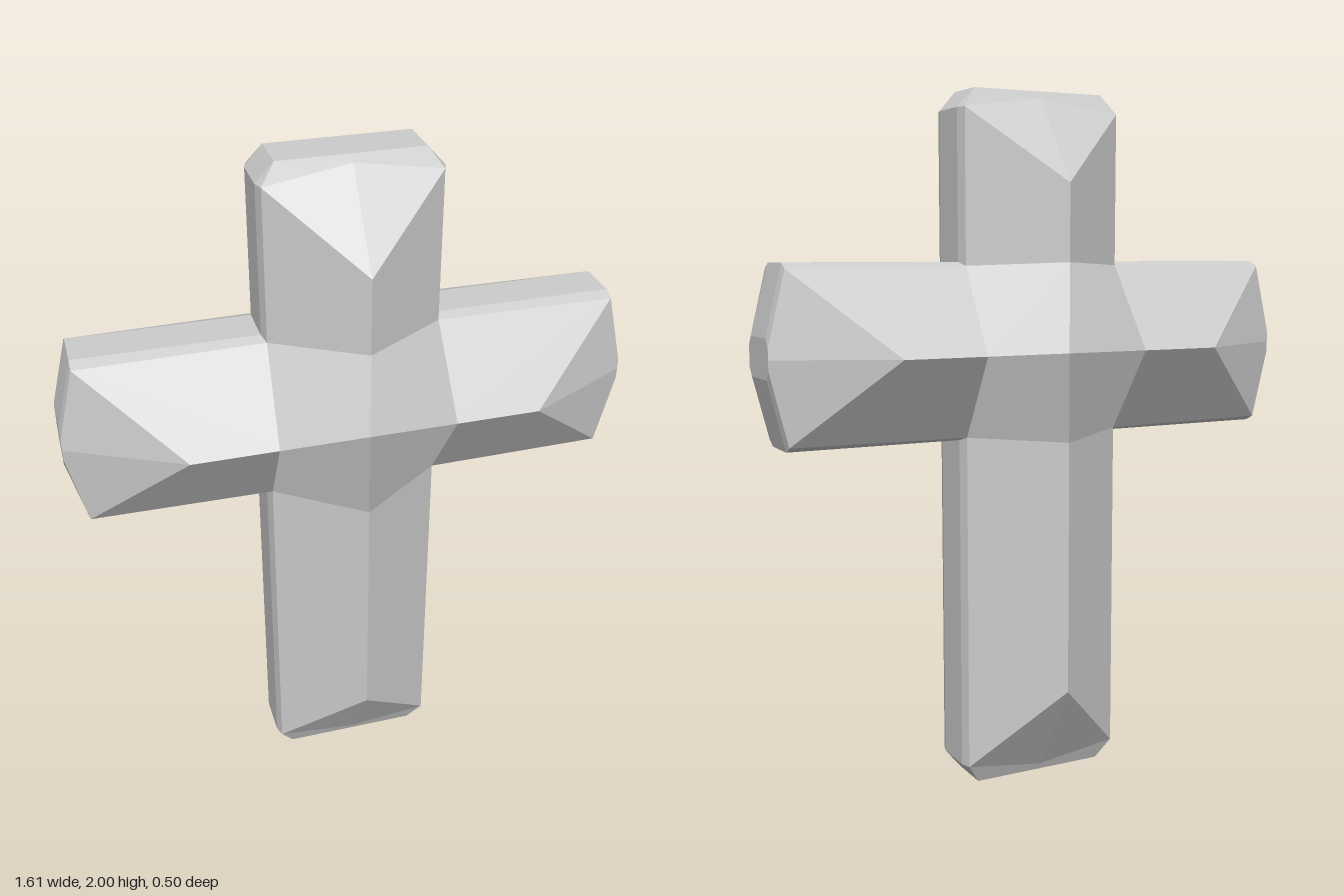
import * as THREE from 'three';

const MID_Y = 1.275; // height of the arm ridge

// Faces of one octant of the cross (x, y, z all positive, y measured from the arm ridge).
// top: end of the post, shoulder: start of its end chamfer, apex: end of its ridge.
function octantFaces(top, shoulder, apex) {
  // crossing
  const centre = [0, 0, 0.25], ridgeX = [0.25, 0, 0.25], ridgeY = [0, 0.25, 0.25];
  const k = [0.24, 0.24, 0.09], k2 = [0.25, 0.25, 0.06], k0 = [0.25, 0.25, 0];
  // post end
  const a = [0, apex, 0.25];
  const p = [0.24, shoulder, 0.09], p2 = [0.25, shoulder, 0.06], p0 = [0.25, shoulder, 0];
  const fold = [0, top - 0.02, 0.075];
  const t = [0.2, top, 0.065], t0 = [0.2, top, 0], tm = [0, top, 0.065], tc = [0, top, 0];
  // arm end
  const b = [0.49, 0, 0.25];
  const q = [0.755, 0.235, 0.09], q2 = [0.755, 0.25, 0.06], q0 = [0.755, 0.25, 0];
  const e1 = [0.805, 0, 0.09], e2 = [0.805, 0.03, 0.09], e3 = [0.805, 0.055, 0.07];
  const e4 = [0.805, 0.055, 0], ec = [0.805, 0, 0];
  return {
    crossing: [[ridgeX, k, ridgeY, centre]],
    post: [
      [ridgeY, k, p, a],           // sloped face
      [k, k2, p2, p],              // edge bevel
      [k2, k0, p0, p2],            // flat side
      [a, p, fold],                // end slope
      [fold, p, t, tm],
      [p, p2, t], [p2, p0, t0, t], // end chamfers
      [t, t0, tc, tm],             // end face
    ],
    arm: [
      [ridgeX, b, q, k],
      [k, q, q2, k2],
      [k2, q2, q0, k0],
      [b, e1, e2, q],
      [q, e2, e3, q2], [q2, e3, e4, q0],
      [e1, ec, e4, e3, e2],
    ],
  };
}

// Area normal of a polygon that may be slightly bent
function polygonNormal(points) {
  const n = new THREE.Vector3();
  points.forEach((v, i) => n.add(v.clone().cross(points[(i + 1) % points.length])));
  return n.normalize();
}

// Mirrors the faces into one octant, keeping them turned outward, one normal per face
function addFaces(target, faces, sx, sy, sz) {
  for (const face of faces) {
    const points = face.map(([x, y, z]) => new THREE.Vector3(x * sx, y * sy, z * sz));
    let n = polygonNormal(points);
    const flip = n.x * sx + n.y * sy + n.z * sz < 0;
    if (flip) n.negate();
    for (let i = 1; i < points.length - 1; i++) {
      const tri = flip ? [0, i + 1, i] : [0, i, i + 1];
      for (const j of tri) {
        target.positions.push(points[j].x, points[j].y + MID_Y, points[j].z);
        target.normals.push(n.x, n.y, n.z);
      }
    }
  }
}

export function createModel() {
  const group = new THREE.Group();
  group.name = 'cross';
  const material = new THREE.MeshStandardMaterial({ color: 0xcccccc });
  const parts = {};
  const part = (name) => (parts[name] ??= { positions: [], normals: [] });

  const upper = octantFaces(0.725, 0.67, 0.465);
  const lower = octantFaces(1.275, 1.215, 0.975);
  for (const sx of [1, -1]) for (const sy of [1, -1]) for (const sz of [1, -1]) {
    const faces = sy > 0 ? upper : lower;
    addFaces(part('crossing'), faces.crossing, sx, sy, sz);
    addFaces(part(sy > 0 ? 'upperPost' : 'lowerPost'), faces.post, sx, sy, sz);
    addFaces(part(sx > 0 ? 'leftArm' : 'rightArm'), faces.arm, sx, sy, sz);
  }

  for (const [name, { positions, normals }] of Object.entries(parts)) {
    const geometry = new THREE.BufferGeometry();
    geometry.setAttribute('position', new THREE.Float32BufferAttribute(positions, 3));
    geometry.setAttribute('normal', new THREE.Float32BufferAttribute(normals, 3));
    const mesh = new THREE.Mesh(geometry, material);
    mesh.name = name;
    group.add(mesh);
  }
  return group;
}
